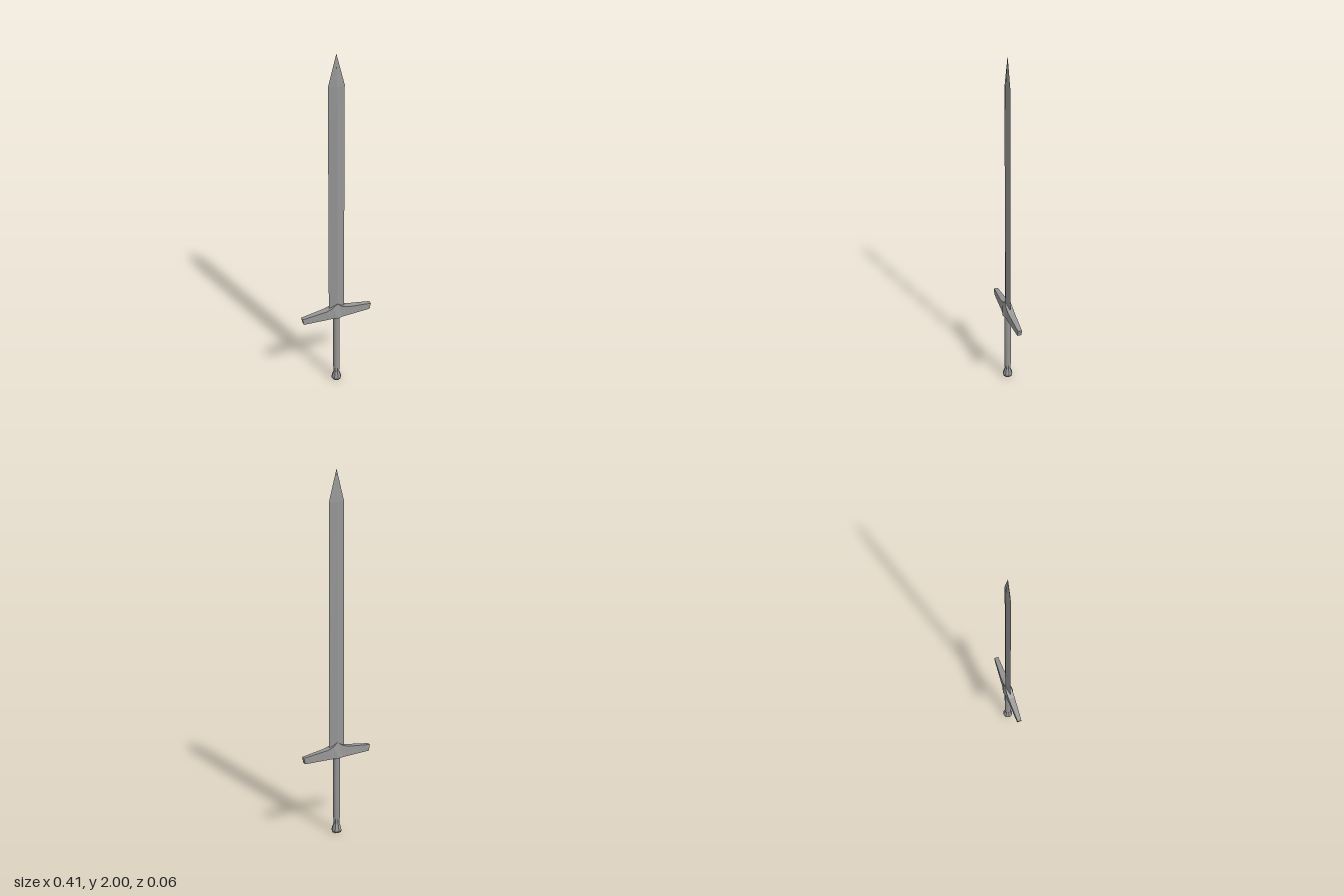
import * as THREE from 'three';

const color = 0x969696;
const faceted = new THREE.MeshStandardMaterial({ color, flatShading: true });
const smooth = new THREE.MeshStandardMaterial({ color });

// Skins equal-length rings of points (counter-clockwise seen along the sweep) and caps both ends
function loft(rings) {
  const positions = [];
  const tri = (...points) => points.forEach((p) => positions.push(...p));
  const n = rings[0].length;
  for (let i = 0; i < rings.length - 1; i++) {
    for (let j = 0; j < n; j++) {
      const k = (j + 1) % n;
      const [a, b, c, d] = [rings[i][j], rings[i][k], rings[i + 1][k], rings[i + 1][j]];
      tri(a, b, c);
      tri(a, c, d);
    }
  }
  const first = rings[0];
  const last = rings[rings.length - 1];
  for (let j = 1; j < n - 1; j++) {
    tri(first[0], first[j + 1], first[j]);
    tri(last[0], last[j], last[j + 1]);
  }
  const geometry = new THREE.BufferGeometry();
  geometry.setAttribute('position', new THREE.Float32BufferAttribute(positions, 3));
  geometry.computeVertexNormals();
  return geometry;
}

function addPart(group, name, geometry, material) {
  const mesh = new THREE.Mesh(geometry, material);
  mesh.name = name;
  group.add(mesh);
}

function lathe(profile, sides) {
  return new THREE.LatheGeometry(profile.map(([r, y]) => new THREE.Vector2(r, y)), sides);
}

export function createModel() {
  const sword = new THREE.Group();
  sword.name = 'sword';

  // Blade: diamond sections given as height, half width, half thickness
  const bladeSections = [
    [0.47, 0.045, 0.0135], [1.67, 0.0442, 0.0121], [1.835, 0.044, 0.0108], [2, 0.0005, 0.0005],
  ];
  addPart(sword, 'blade', loft(bladeSections.map(([y, w, t]) => [
    [w, y, 0], [0, y, -t], [-w, y, 0], [0, y, t],
  ])), faceted);

  // Crossguard: half sections as top x, bottom x, top y, top half depth, bottom half depth
  const half = [
    [0, 0, 0.542, 0.015, 0.03],
    [0.03, 0.03, 0.52, 0.018, 0.022],
    [0.065, 0.065, 0.508, 0.018, 0.02],
    [0.204, 0.197, 0.489, 0.011, 0.012],
  ];
  const mirrored = half.slice(1).reverse().map(([xt, xb, ...rest]) => [-xt, -xb, ...rest]);
  const bottom = 0.454;
  addPart(sword, 'crossguard', loft([...mirrored, ...half].map(([xt, xb, y, t, b]) => [
    [xt, y, -t], [xt, y, t], [xb, bottom, b], [xb, bottom, -b],
  ])), faceted);

  // Grip
  addPart(sword, 'grip', lathe([[0.0185, 0.09], [0.0185, 0.46]], 16), smooth);

  // Flared pommel
  addPart(sword, 'pommel', lathe([
    [0, 0], [0.024, 0.005], [0.029, 0.016], [0.026, 0.03], [0.016, 0.06], [0.0185, 0.075], [0.0185, 0.1],
  ], 8), faceted);

  // The whole sword is turned slightly about its long axis
  sword.rotation.y = 0.083;
  return sword;
}
